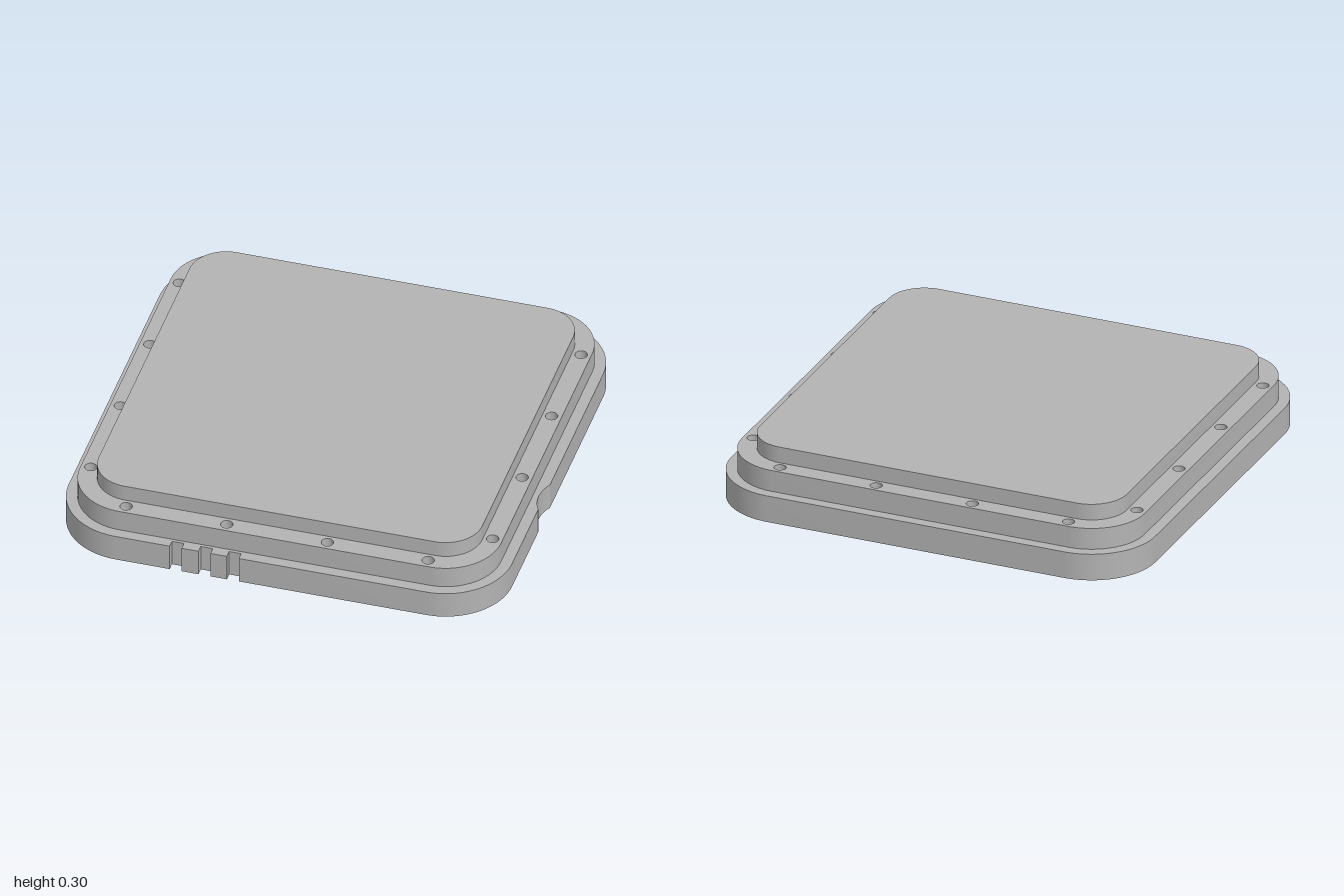
import * as THREE from 'three';
import { toCreasedNormals } from 'three/addons/utils/BufferGeometryUtils.js';

const C = 0.7; // shared centre of all corner arcs

// Rounded square around the shared corner centres; plan y is -z.
// The optional callbacks cut details into the front and left edges.
function roundedSquare(half, Type = THREE.Shape, cutFront, cutLeft) {
  const r = half - C;
  const s = new Type();
  s.moveTo(-C, -half);
  if (cutFront) cutFront(s, half);
  s.lineTo(C, -half);
  s.absarc(C, -C, r, -Math.PI / 2, 0, false);
  if (cutLeft) cutLeft(s, half);
  s.lineTo(half, C);
  s.absarc(C, C, r, 0, Math.PI / 2, false);
  s.lineTo(-C, half);
  s.absarc(-C, C, r, Math.PI / 2, Math.PI, false);
  s.lineTo(-half, -C);
  s.absarc(-C, -C, r, Math.PI, Math.PI * 1.5, false);
  return s;
}

// Upright slab of a plan shape between two heights
function slab(name, shape, y0, y1, material) {
  let g = new THREE.ExtrudeGeometry(shape, { depth: y1 - y0, bevelEnabled: false, curveSegments: 16 });
  g.rotateX(-Math.PI / 2);
  g.translate(0, y0, 0);
  g = toCreasedNormals(g, 0.5);
  const mesh = new THREE.Mesh(g, material);
  mesh.name = name;
  return mesh;
}

export function createModel() {
  const group = new THREE.Group();
  group.name = 'steppedCover';
  const grey = new THREE.MeshStandardMaterial({ color: 0xb3b3b3 });
  grey.name = 'plain grey';

  // Three square key slots in the front edge
  const keySlots = (s, half) => {
    for (const x of [-0.43, -0.3, -0.172]) {
      s.lineTo(x - 0.027, -half);
      s.lineTo(x - 0.027, -half + 0.036);
      s.lineTo(x + 0.027, -half + 0.036);
      s.lineTo(x + 0.027, -half);
    }
  };
  // Shallow curved finger scoop in the left edge
  const fingerScoop = (s, half) => {
    const a = Math.PI / 6;
    s.lineTo(half, -0.3);
    s.absarc(half + 0.156, -0.21, 0.18, Math.PI + a, Math.PI - a, true);
  };

  // Outer rim, open inside to leave a groove around the core
  const rim = roundedSquare(1, THREE.Shape, keySlots, fingerScoop);
  rim.holes.push(roundedSquare(0.945, THREE.Path));
  group.add(slab('outerRim', rim, 0, 0.125, grey));

  // Flange bridging rim and core, with four screw holes per side
  const flange = roundedSquare(0.95);
  flange.holes.push(roundedSquare(0.86, THREE.Path));
  for (const t of [-0.681, -0.227, 0.227, 0.681]) {
    for (const d of [-0.906, 0.906]) {
      for (const [x, y] of [[t, d], [d, t]]) {
        flange.holes.push(new THREE.Path().absarc(x, y, 0.027, 0, Math.PI * 2, true));
      }
    }
  }
  group.add(slab('screwFlange', flange, 0.115, 0.225, grey));

  // Full-height core forming the raised top and the underside plate
  group.add(slab('core', roundedSquare(0.865), 0, 0.3, grey));

  return group;
}
